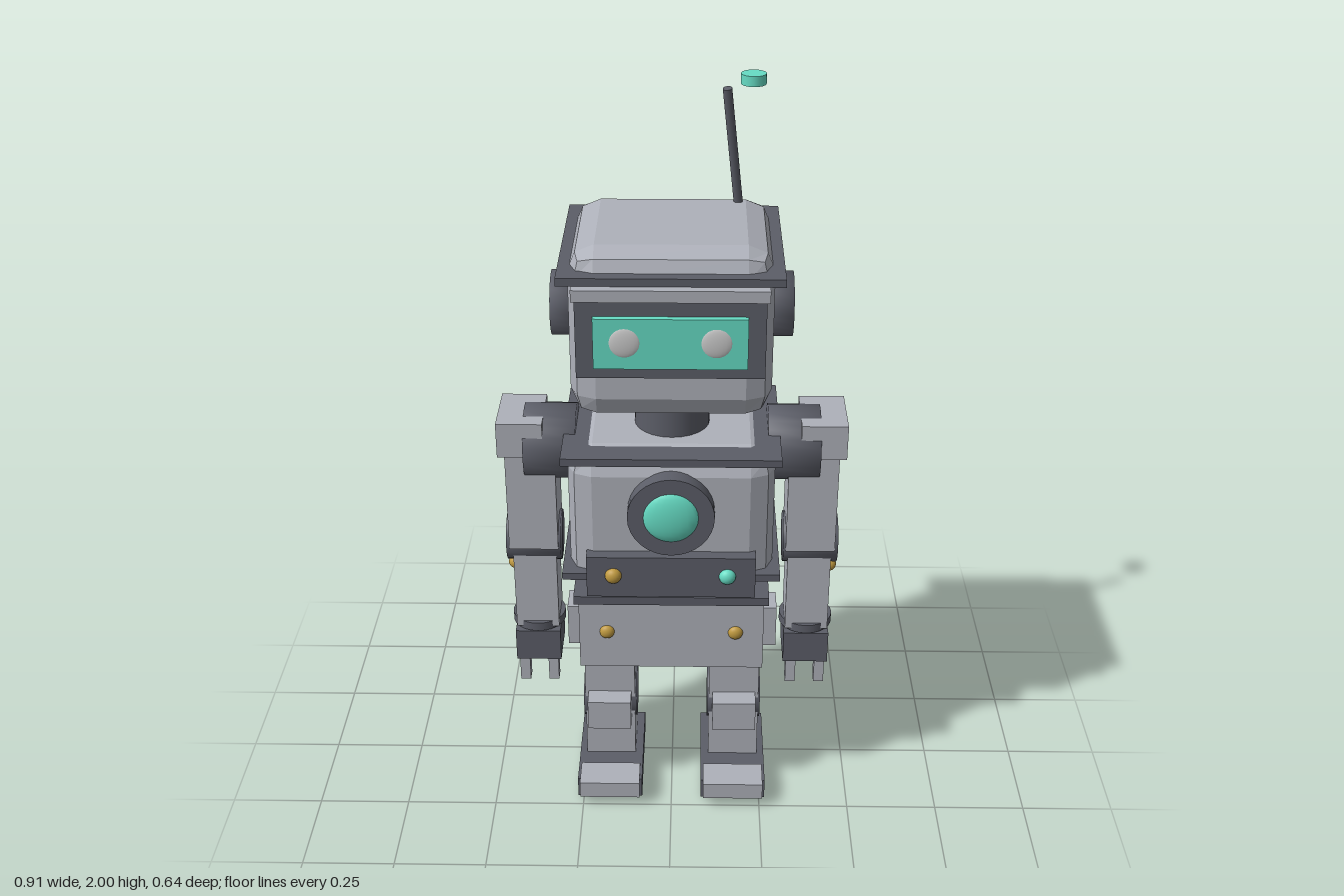
import * as THREE from 'three';
import { mergeVertices } from 'three/addons/utils/BufferGeometryUtils.js';
import { RoundedBoxGeometry } from 'three/addons/geometries/RoundedBoxGeometry.js';

const mat = (color, flatShading = false) => {
  const m = new THREE.MeshStandardMaterial({ color });
  m.flatShading = flatShading;
  return m;
};
const light = mat(0xaeb1ba);
const lightFlat = mat(0xaeb1ba, true);
const dark = mat(0x5c5e68);
const teal = mat(0x66dcc4);
const brass = mat(0xc09a40);
const white = mat(0xdcdcd8);

export function createModel() {
  const model = new THREE.Group();
  model.name = 'robot';

  const add = (parent, name, geometry, material) => {
    const mesh = new THREE.Mesh(geometry, material);
    mesh.name = name;
    parent.add(mesh);
    return mesh;
  };
  // Box given by its limits on each axis
  const box = (parent, name, material, [x0, x1], [y0, y1], [z0, z1]) => {
    const m = add(parent, name, new THREE.BoxGeometry(x1 - x0, y1 - y0, z1 - z0), material);
    m.position.set((x0 + x1) / 2, (y0 + y1) / 2, (z0 + z1) / 2);
    return m;
  };
  // Bevelled box given by its limits on each axis
  const bevelBox = (parent, name, [x0, x1], [y0, y1], [z0, z1], radius) => {
    const m = add(parent, name, new RoundedBoxGeometry(x1 - x0, y1 - y0, z1 - z0, 1, radius), lightFlat);
    m.position.set((x0 + x1) / 2, (y0 + y1) / 2, (z0 + z1) / 2);
    return m;
  };
  // Rod between two points
  const rod = (parent, name, material, a, b, radius, sides = 24) => {
    const p = new THREE.Vector3(...a), q = new THREE.Vector3(...b);
    const dir = q.clone().sub(p);
    const m = add(parent, name, new THREE.CylinderGeometry(radius, radius, dir.length(), sides), material);
    m.position.copy(p).add(q).multiplyScalar(0.5);
    m.quaternion.setFromUnitVectors(new THREE.Vector3(0, 1, 0), dir.normalize());
    return m;
  };
  // Joint disc with normals blended over its rim
  const joint = (parent, name, a, b, radius) => {
    const m = rod(parent, name, dark, a, b, radius);
    const g = m.geometry;
    g.deleteAttribute('uv');
    g.deleteAttribute('normal');
    m.geometry = mergeVertices(g);
    m.geometry.computeVertexNormals();
    return m;
  };
  const ball = (parent, name, material, [x, y, z], r, depth = r) => {
    const m = add(parent, name, new THREE.SphereGeometry(r, 20, 14), material);
    m.scale.z = depth / r;
    m.position.set(x, y, z);
    return m;
  };
  const group = (name) => {
    const g = new THREE.Group();
    g.name = name;
    model.add(g);
    return g;
  };

  // Head with rim, visor and screen
  const head = group('head');
  bevelBox(head, 'headShell', [-0.25, 0.25], [1.235, 1.68], [-0.185, 0.26], 0.066);
  box(head, 'headRim', dark, [-0.272, 0.272], [1.61, 1.63], [-0.21, 0.285]);
  box(head, 'brow', light, [-0.235, 0.235], [1.58, 1.61], [0.22, 0.31]);
  box(head, 'screenFrame', dark, [-0.228, 0.228], [1.378, 1.58], [0.22, 0.298]);
  box(head, 'screen', teal, [-0.185, 0.185], [1.41, 1.54], [0.28, 0.315]);
  for (const s of [-1, 1]) {
    ball(head, 'eye', white, [s * 0.11, 1.478, 0.312], 0.04, 0.008);
    joint(head, 'ear', [s * 0.23, 1.455, 0.02], [s * 0.305, 1.455, 0.02], 0.083);
  }
  rod(head, 'antenna', dark, [0.168, 1.65, -0.112], [0.132, 1.985, -0.055], 0.012, 10);
  rod(head, 'antennaTip', teal, [0.198, 1.974, -0.135], [0.198, 2, -0.135], 0.032, 16);

  // Torso, neck and chest panel
  const torso = group('torso');
  rod(torso, 'neck', dark, [0, 1.1, 0.04], [0, 1.218, 0.04], 0.098);
  bevelBox(torso, 'torsoShell', [-0.267, 0.267], [0.715, 1.13], [-0.155, 0.235], 0.064);
  box(torso, 'collarPlate', dark, [-0.28, 0.28], [1.105, 1.126], [-0.175, 0.25]);
  box(torso, 'waistPlate', dark, [-0.285, 0.285], [0.764, 0.784], [-0.175, 0.25]);
  rod(torso, 'chestRing', dark, [0, 0.97, 0.2], [0, 0.97, 0.275], 0.112, 32);
  ball(torso, 'chestLamp', teal, [0, 0.97, 0.268], 0.074, 0.024);
  box(torso, 'controlPanel', dark, [-0.22, 0.22], [0.725, 0.845], [0.2, 0.268]);
  ball(torso, 'brassButton', brass, [-0.15, 0.79, 0.268], 0.022, 0.018);
  ball(torso, 'tealButton', teal, [0.147, 0.79, 0.268], 0.022, 0.018);

  // Backpack with lamp and exhaust pipes
  const backpack = group('backpack');
  box(backpack, 'packBody', dark, [-0.185, 0.185], [0.81, 1.083], [-0.285, -0.135]);
  rod(backpack, 'packLamp', teal, [0.11, 0.995, -0.27], [0.11, 0.995, -0.32], 0.041);
  for (const s of [-1, 1])
    rod(backpack, 'exhaustPipe', light, [s * 0.125, 0.84, -0.18], [s * 0.125, 0.668, -0.228], 0.02, 12);

  // Pelvis
  const pelvis = group('pelvis');
  box(pelvis, 'belt', dark, [-0.26, 0.26], [0.67, 0.695], [-0.147, 0.227]);
  box(pelvis, 'pelvisBlock', light, [-0.248, 0.248], [0.46, 0.672], [-0.132, 0.215]);
  for (const s of [-1, 1])
    ball(pelvis, 'pelvisBolt', brass, [s * 0.173, 0.575, 0.215], 0.02, 0.014);

  for (const s of [-1, 1]) {
    const side = s > 0 ? 'left' : 'right';
    const span = (a, b) => s > 0 ? [a, b] : [-b, -a];

    // Arm
    const arm = group(side + 'Arm');
    joint(arm, 'shoulder', [s * 0.25, 1.067, 0.038], [s * 0.387, 1.067, 0.038], 0.1);
    box(arm, 'shoulderCap', light, span(0.335, 0.455), [1.06, 1.157], [-0.05, 0.125]);
    box(arm, 'upperArm', light, span(0.306, 0.438), [0.77, 1.07], [-0.035, 0.112]);
    joint(arm, 'elbow', [s * 0.3, 0.775, 0.04], [s * 0.447, 0.775, 0.04], 0.069);
    box(arm, 'forearm', light, span(0.313, 0.43), [0.51, 0.78], [-0.02, 0.1]);
    ball(arm, 'forearmBolt', brass, [s * 0.432, 0.685, 0.04], 0.019);
    rod(arm, 'wristBand', dark, [s * 0.372, 0.503, 0.04], [s * 0.372, 0.528, 0.04], 0.073);
    box(arm, 'hand', dark, span(0.31, 0.434), [0.405, 0.5], [-0.028, 0.11]);
    for (const x of [0.333, 0.413])
      box(arm, 'finger', light, span(x - 0.014, x + 0.014), [0.33, 0.41], [0.068, 0.102]);

    // Leg
    const leg = group(side + 'Leg');
    box(leg, 'hipBlock', light, span(0.2, 0.29), [0.438, 0.563], [0, 0.08]);
    box(leg, 'legColumn', light, span(0.105, 0.245), [0.07, 0.47], [-0.035, 0.11]);
    joint(leg, 'knee', [s * 0.1, 0.25, 0.04], [s * 0.25, 0.25, 0.04], 0.075);
    box(leg, 'kneePad', light, span(0.115, 0.236), [0.204, 0.295], [0.09, 0.165]);
    rod(leg, 'calfPiston', dark, [s * 0.175, 0.25, -0.04], [s * 0.175, 0.075, -0.068], 0.014, 12);

    // Foot with toe cap and treads
    box(leg, 'foot', dark, span(0.083, 0.265), [0.014, 0.075], [-0.075, 0.23]);
    box(leg, 'toeCap', light, span(0.09, 0.258), [0.03, 0.08], [0.165, 0.255]);
    for (let i = 0; i < 5; i++) {
      const z = -0.045 + i * 0.06;
      box(leg, 'tread', dark, span(0.088, 0.26), [0, 0.016], [z - 0.018, z + 0.018]);
    }
  }
  return model;
}
